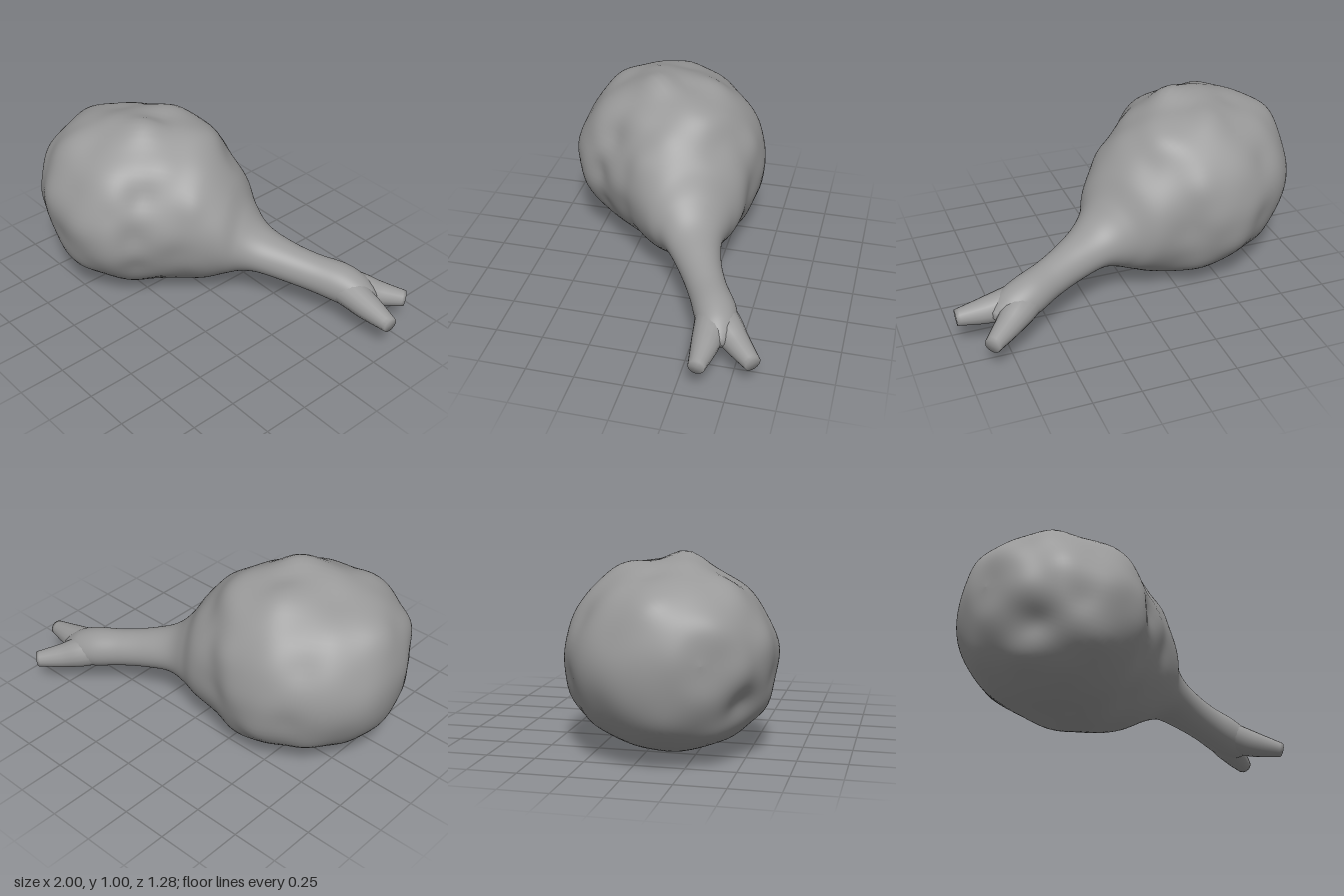
import * as THREE from 'three';

const material = new THREE.MeshStandardMaterial({ color: 0x9a9a9a, side: THREE.DoubleSide });

// Skin a smooth surface over rings of points, closing the far end.
function loft(name, rings) {
  const n = rings[0].length, last = rings[rings.length - 1], start = (rings.length - 1) * n;
  const pos = [], idx = [];
  rings.forEach(r => r.forEach(p => pos.push(p.x, p.y, p.z)));
  for (let i = 0; i < rings.length - 1; i++)
    for (let j = 0; j < n; j++) {
      const a = i * n + j, b = i * n + (j + 1) % n;
      idx.push(a, b, a + n, b, b + n, a + n);
    }
  const c = last.reduce((s, p) => s.add(p), new THREE.Vector3()).divideScalar(n);
  pos.push(c.x, c.y, c.z);
  for (let j = 0; j < n; j++) idx.push(start + j, start + (j + 1) % n, start + n);
  const g = new THREE.BufferGeometry();
  g.setAttribute('position', new THREE.Float32BufferAttribute(pos, 3));
  g.setIndex(idx);
  g.computeVertexNormals();
  const mesh = new THREE.Mesh(g, material);
  mesh.name = name;
  return mesh;
}

// Main axis (U) and sideways axis (V) in the ground plane, from the bulb centre.
const ORIGIN = new THREE.Vector3(-0.42, 0, 0.11);
const MIDDLE = new THREE.Vector3(-0.42, 0.5, 0.11);
const U = new THREE.Vector3(0.87, 0, -0.5), V = new THREE.Vector3(0.5, 0, 0.87);

// Distance along the axis, side extents, bottom and top.
const SECTIONS = [
  [-0.56, -0.04, -0.04, 0.54, 0.54], [-0.545, -0.18, 0.14, 0.37, 0.70],
  [-0.48, -0.33, 0.26, 0.23, 0.80], [-0.38, -0.44, 0.38, 0.13, 0.88],
  [-0.22, -0.515, 0.47, 0.055, 0.94], [-0.03, -0.54, 0.50, 0.015, 0.965],
  [0.12, -0.525, 0.44, 0.01, 0.96], [0.28, -0.445, 0.365, 0.04, 0.91],
  [0.40, -0.34, 0.33, 0.08, 0.83], [0.52, -0.255, 0.28, 0.145, 0.695],
  [0.60, -0.16, 0.23, 0.185, 0.56], [0.70, -0.08, 0.205, 0.21, 0.46],
  [0.85, -0.03, 0.19, 0.19, 0.405], [1.00, -0.01, 0.19, 0.165, 0.37],
  [1.15, -0.01, 0.205, 0.135, 0.35], [1.25, 0.015, 0.21, 0.13, 0.315],
  [1.31, 0.06, 0.185, 0.155, 0.27], [1.345, 0.115, 0.15, 0.195, 0.23],
];

// Swellings and hollows on the bulb: centre, spread, height.
const LUMPS = [
  [-0.36, 1.0, 0.18, 0.12, 0.045], [-0.45, 0.95, -0.11, 0.11, 0.025],
  [-0.38, 0.92, 0.04, 0.09, -0.03], [-0.60, 0.88, 0.42, 0.1, 0.02],
  [-0.88, 0.82, 0.1, 0.12, 0.02], [-0.72, 0.32, 0.5, 0.1, -0.035],
  [-0.12, 0.72, 0.36, 0.09, -0.02], [-0.13, 0.5, 0.43, 0.09, -0.03],
  [-0.14, 0.3, 0.4, 0.09, -0.02], [-0.02, 0.5, 0.3, 0.1, 0.015],
  [-0.17, 0.85, -0.16, 0.1, 0.02], [-0.5, 0.3, 0.55, 0.11, 0.015],
  [-0.25, 0.4, -0.38, 0.1, -0.02],
];
// Small knobs and dents spread evenly over the bulb in a spiral.
for (let i = 0; i < 70; i++) {
  const y = 1 - (2 * i + 1) / 70, r = Math.sqrt(1 - y * y), a = i * 2.39996;
  LUMPS.push([MIDDLE.x + 0.52 * r * Math.cos(a), MIDDLE.y + 0.48 * y,
    MIDDLE.z + 0.52 * r * Math.sin(a), 0.09, 0.016 * Math.sin(i * i + 1)]);
}

const lumpiness = p => LUMPS.reduce((h, [x, y, z, w, a]) =>
  h + a * Math.exp(-((p.x - x) ** 2 + (p.y - y) ** 2 + (p.z - z) ** 2) / (w * w)), 0);

// Lumpy bulb drawn out into the stalk as one continuous skin.
function bulbAndStalk() {
  const centres = new THREE.CatmullRomCurve3(SECTIONS.map(([s, a, b, c, d]) =>
    new THREE.Vector3(s, (a + b) / 2, (c + d) / 2)), false, 'catmullrom', 0.5);
  const radii = new THREE.CatmullRomCurve3(SECTIONS.map(([, a, b, c, d]) =>
    new THREE.Vector3((b - a) / 2, (d - c) / 2, 0)), false, 'catmullrom', 0.5);
  const rings = [], steps = 119, sides = 80;
  for (let i = 0; i <= steps; i++) {
    const c = centres.getPoint(i / steps), r = radii.getPoint(i / steps), ring = [];
    const fade = 1 - THREE.MathUtils.smoothstep(c.x, 0.3, 0.75);
    for (let j = 0; j < sides; j++) {
      const t = j / sides * Math.PI * 2;
      const p = ORIGIN.clone().addScaledVector(U, c.x)
        .addScaledVector(V, c.y + Math.cos(t) * r.x);
      p.y = c.z - Math.sin(t) * r.y;
      const out = p.clone().sub(MIDDLE).normalize();
      ring.push(p.addScaledVector(out, lumpiness(p) * fade));
    }
    rings.push(ring);
  }
  return loft('bulbAndStalk', rings);
}

// Tapering branch through points [x, y, z, radius], starting inside the stalk.
function branch(name, pts) {
  const path = new THREE.CatmullRomCurve3(pts.map(p => new THREE.Vector3(p[0], p[1], p[2])),
    false, 'catmullrom', 0.5);
  const radius = new THREE.CatmullRomCurve3(pts.map(p => new THREE.Vector3(p[3], 0, 0)),
    false, 'catmullrom', 0.5);
  const steps = 24, sides = 16, rings = [];
  for (let i = 0; i <= steps; i++) {
    const c = path.getPoint(i / steps), d = path.getTangent(i / steps);
    const r = radius.getPoint(i / steps).x;
    const side = new THREE.Vector3(0, 1, 0).cross(d).normalize();
    const up = d.clone().cross(side);
    rings.push(Array.from({ length: sides }, (_, j) => {
      const a = j / sides * Math.PI * 2;
      return c.clone().addScaledVector(side, Math.cos(a) * r).addScaledVector(up, Math.sin(a) * r);
    }));
  }
  return loft(name, rings);
}

export function createModel() {
  const model = new THREE.Group();
  model.name = 'forkedBulb';
  model.add(
    bulbAndStalk(),
    branch('frontBranch', [[0.5, 0.26, -0.31, 0.06], [0.68, 0.23, -0.368, 0.082],
      [0.82, 0.207, -0.373, 0.072], [0.99, 0.19, -0.365, 0.042]]),
    branch('backBranch', [[0.5, 0.26, -0.33, 0.06], [0.67, 0.217, -0.435, 0.084],
      [0.77, 0.185, -0.522, 0.066], [0.87, 0.162, -0.615, 0.043]]),
  );
  // Rest on the ground and centre.
  const box = new THREE.Box3().setFromObject(model, true), mid = box.getCenter(new THREE.Vector3());
  model.children.forEach(m => m.geometry.translate(-mid.x, -box.min.y, -mid.z));
  return model;
}
